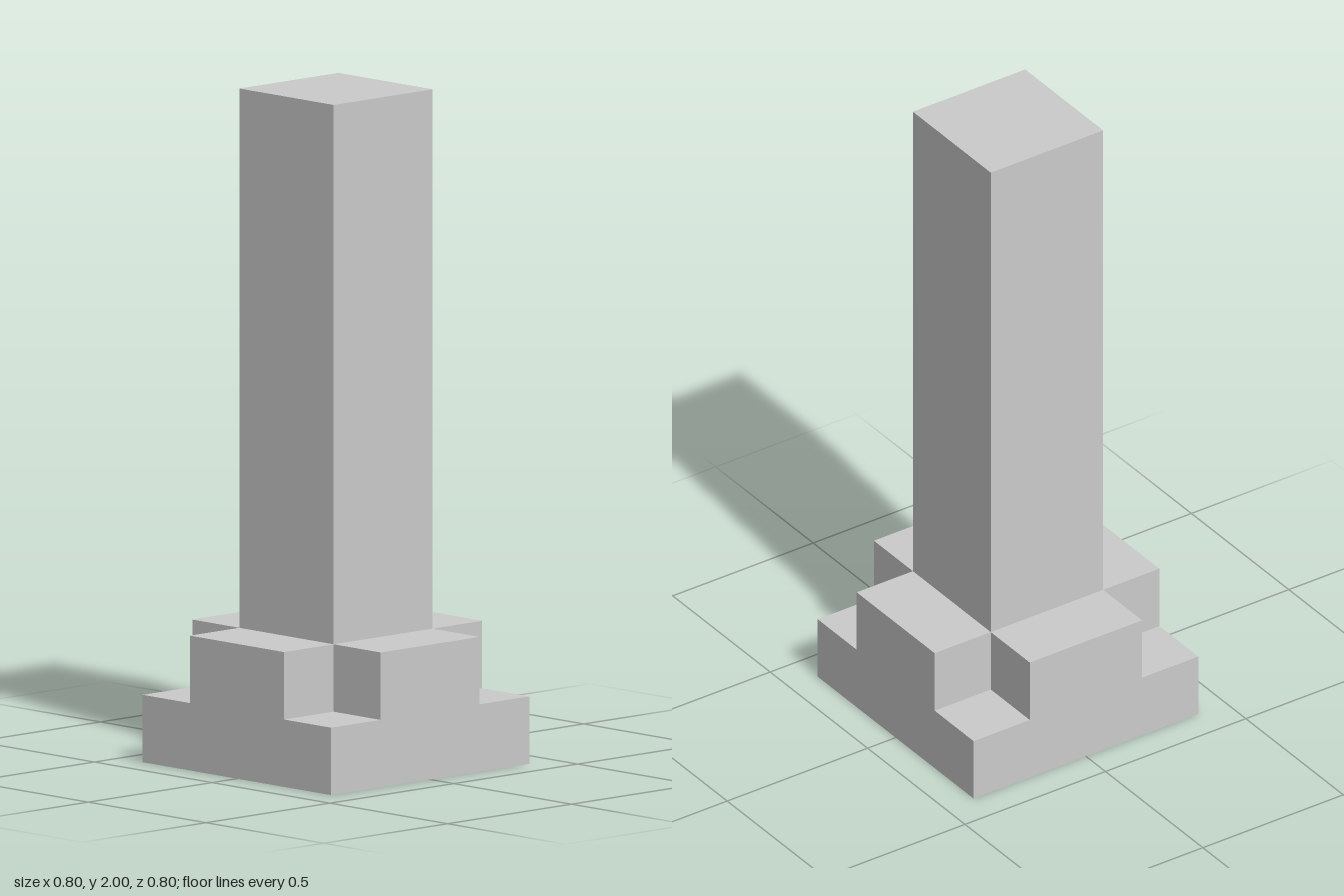
import * as THREE from 'three';

const material = new THREE.MeshStandardMaterial({ color: 0xcccccc, flatShading: true });

// A box standing on height y
function block(name, w, h, d, x, y, z) {
  const mesh = new THREE.Mesh(new THREE.BoxGeometry(w, h, d), material);
  mesh.name = name;
  mesh.position.set(x, y + h / 2, z);
  return mesh;
}

export function createModel() {
  const model = new THREE.Group();
  model.name = 'pillar';

  // Square base slab and tall square shaft
  model.add(block('base', 0.8, 0.2, 0.8, 0, 0, 0));
  model.add(block('shaft', 0.4, 1.8, 0.4, 0, 0.2, 0));

  // One step block against each side of the shaft, flush with the base edge
  for (const side of [-1, 1]) {
    model.add(block(side > 0 ? 'leftStep' : 'rightStep', 0.2, 0.2, 0.4, side * 0.3, 0.2, 0));
    model.add(block(side > 0 ? 'frontStep' : 'backStep', 0.4, 0.2, 0.2, 0, 0.2, side * 0.3));
  }
  return model;
}
